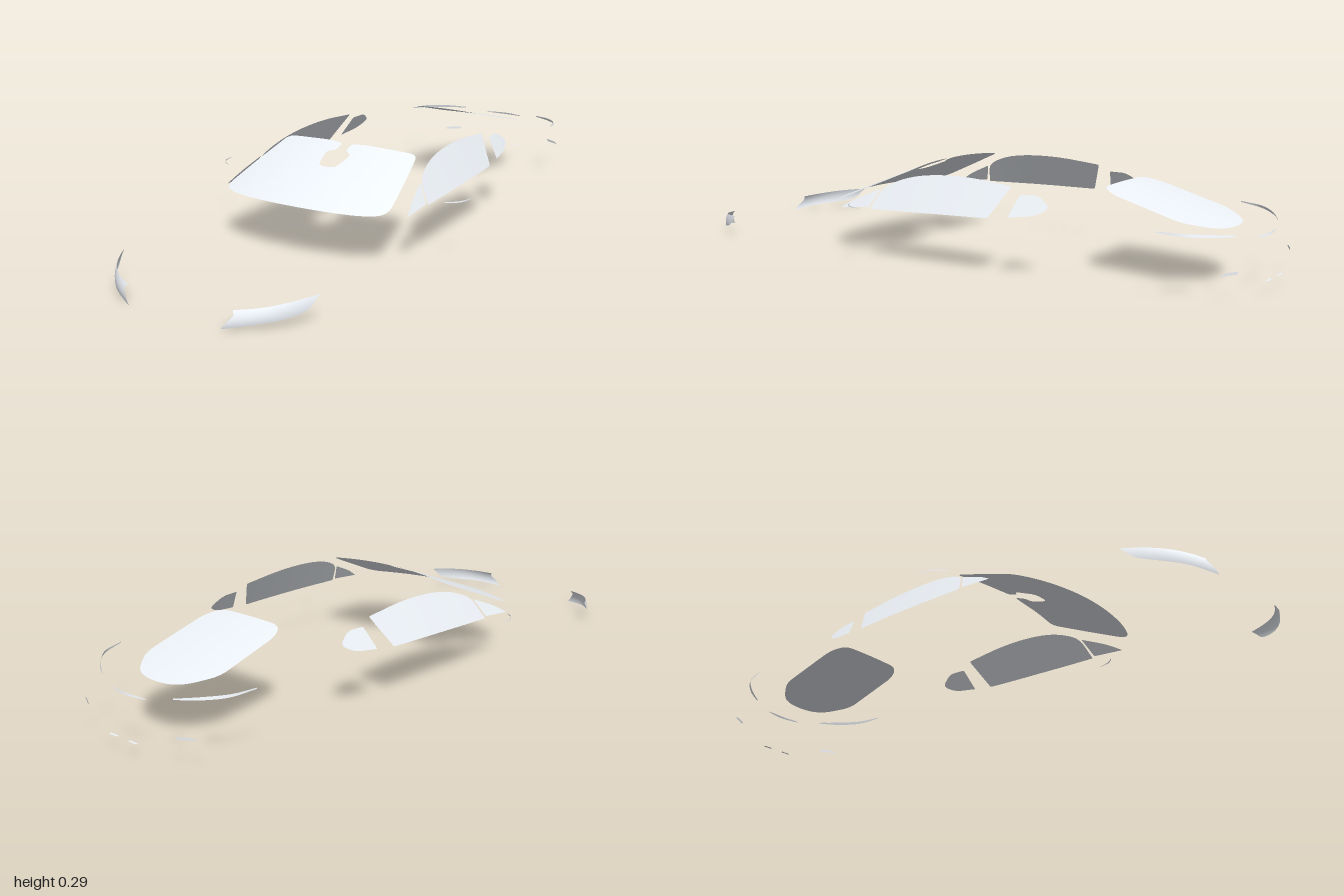
import * as THREE from 'three';
import { mergeVertices } from 'three/addons/utils/BufferGeometryUtils.js';

const material = new THREE.MeshStandardMaterial({ color: 0xeef3f9, side: THREE.DoubleSide });

// Closed shape from corners [u, v, rounding radius]
function roundedShape(corners) {
  const shape = new THREE.Shape();
  const n = corners.length;
  corners.forEach(([u, v, r = 0], i) => {
    const p = new THREE.Vector2(u, v);
    const toward = (q) => {
      const d = new THREE.Vector2(q[0], q[1]).sub(p);
      return p.clone().addScaledVector(d, Math.min(r / d.length(), 0.5));
    };
    const a = toward(corners[(i + n - 1) % n]);
    const b = toward(corners[(i + 1) % n]);
    if (i === 0) shape.moveTo(a.x, a.y); else shape.lineTo(a.x, a.y);
    if (r > 0) shape.quadraticCurveTo(p.x, p.y, b.x, b.y);
  });
  shape.closePath();
  return shape;
}

// Fill a flat outline, split its triangles and bend it with map(u, v) -> [x, y, z]
function panel(name, corners, map, levels = 3) {
  const flat = new THREE.ShapeGeometry(roundedShape(corners), 5).toNonIndexed().attributes.position;
  let tris = [];
  for (let i = 0; i < flat.count; i += 3) {
    tris.push([0, 1, 2].map((k) => [flat.getX(i + k), flat.getY(i + k)]));
  }
  const mid = (a, b) => [(a[0] + b[0]) / 2, (a[1] + b[1]) / 2];
  for (let l = 0; l < levels; l++) {
    tris = tris.flatMap(([a, b, c]) => {
      const ab = mid(a, b), bc = mid(b, c), ca = mid(c, a);
      return [[a, ab, ca], [ab, b, bc], [ca, bc, c], [ab, bc, ca]];
    });
  }
  const positions = tris.flat().flatMap(([u, v]) => map(u, v));
  let geometry = new THREE.BufferGeometry();
  geometry.setAttribute('position', new THREE.Float32BufferAttribute(positions, 3));
  geometry = mergeVertices(geometry, 1e-5);
  geometry.computeVertexNormals();
  const mesh = new THREE.Mesh(geometry, material);
  mesh.name = name;
  return mesh;
}

// Narrow band along a curve, slimmer toward its ends and leaning slightly inward
function strip(name, points, height, side = 1) {
  const curve = new THREE.CatmullRomCurve3(points.map((p) => new THREE.Vector3(...p)));
  return panel(name, [[0, -0.5], [1, -0.5], [1, 0.5], [0, 0.5]], (u, v) => {
    const p = curve.getPoint(u);
    const h = v * height * (0.35 + 0.65 * Math.sin(Math.PI * u));
    const lean = 1 - 0.4 * h;
    return [side * p.x * lean, p.y + h, p.z * lean];
  }, 4);
}

export function createModel() {
  const car = new THREE.Group();
  car.name = 'carGlassAndLights';

  // Windscreen with the keyhole cut-out for the mirror mount
  const half = [
    [0.03, 0.267, 0.02], [0.046, 0.197, 0.015], [0.018, 0.182, 0.008], [0.016, 0.148, 0.01],
    [0.06, 0.139, 0.04], [0.14, 0.135, 0.05], [0.24, 0.122, 0.025],
    [0.272, 0.26, 0.06], [0.295, 0.392, 0.04], [0.22, 0.432, 0.06], [0.11, 0.455, 0.06],
  ];
  const mirrored = half.map(([x, z, r]) => [-x, z, r]).reverse();
  car.add(panel('windscreen', [...half, [0, 0.462, 0.06], ...mirrored],
    (x, z) => [x, 0.168 + 0.39 * (0.46 - z) - 0.33 * x * x, z]));

  // Rear window
  const rearHalf = [[0.122, -0.507, 0.03], [0.152, -0.553, 0.03], [0.155, -0.775, 0.03],
    [0.1, -0.85, 0.04], [0.055, -0.872, 0.03]];
  car.add(panel('rearWindow',
    [...rearHalf, [0, -0.878, 0.03], ...rearHalf.map(([x, z, r]) => [-x, z, r]).reverse()],
    (x, z) => [x, 0.275 - 0.265 * (-0.505 - z) - 0.2 * x * x, z]));

  // High brake light
  car.add(strip('highBrakeLight',
    [[-0.07, 0.166, -0.968], [0, 0.166, -0.976], [0.07, 0.166, -0.968]], 0.006));

  for (const side of [1, -1]) {
    const label = side > 0 ? 'left' : 'right';

    // Side glass: outlines in (z, y), leaning inward toward the roof
    const lean = (z, y) =>
      [side * (0.329 - 0.6 * (y - 0.17) - 0.09 * (z - 0.07) ** 2), y, z];
    car.add(
      panel(label + 'DoorWindow', [
        [0.217, 0.161, 0.004], [0.196, 0.219, 0.02], [0.17, 0.24, 0.03], [0.1, 0.267, 0.05],
        [0, 0.281, 0.06], [-0.12, 0.283, 0.06], [-0.27, 0.27, 0.006], [-0.222, 0.177, 0.006],
        [0, 0.17, 0.05],
      ], lean),
      panel(label + 'FrontQuarterWindow', [
        [0.338, 0.154, 0.004], [0.285, 0.186, 0.03], [0.2, 0.222, 0.004], [0.226, 0.165, 0.006],
      ], lean),
      panel(label + 'RearQuarterWindow', [
        [-0.307, 0.25, 0.006], [-0.37, 0.251, 0.02], [-0.415, 0.221, 0.018],
        [-0.375, 0.196, 0.03], [-0.288, 0.185, 0.004],
      ], lean),
    );

    // Headlight cover wrapping round the nose corner
    car.add(panel(label + 'Headlight', [
      [0.343, 0.074, 0.002], [0.26, 0.059, 0.04], [0.181, 0.05, 0.003], [0.189, 0.038, 0.008],
      [0.174, 0.021, 0.01], [0.158, 0, 0.001], [0.23, 0.013, 0.03], [0.3, 0.023, 0.03],
      [0.333, 0.038, 0.015],
    ], (x, y) => {
      const t = Math.max(0, (x - 0.16) / 0.183);
      const bulge = y - (0.012 + 0.03 * t);
      return [side * x, y, 1 - 0.09 * t - 0.09 * t ** 3.5 - 12 * bulge * bulge];
    }, 4));

    // Tail light along the rear edge
    car.add(strip(label + 'TailLight',
      [[0.288, 0.194, -0.762], [0.265, 0.189, -0.84], [0.21, 0.184, -0.9], [0.15, 0.179, -0.94]],
      0.009, side));

    // Rear reflector
    car.add(panel(label + 'Reflector',
      [[0.185, 0.09, 0.002], [0.226, 0.09, 0.01], [0.243, 0.083, 0.001], [0.19, 0.082, 0.004]],
      (x, y) => [side * x, y, -0.968 + 0.55 * (x - 0.185)]));

    // Indicator on the door mirror
    car.add(strip(label + 'MirrorIndicator',
      [[0.45, 0.186, 0.163], [0.442, 0.186, 0.2], [0.425, 0.186, 0.225], [0.4, 0.186, 0.242]],
      0.004, side));

    // Number plate lamp, facing down
    car.add(panel(label + 'PlateLamp',
      [[0.024, -1], [0.058, -1], [0.058, -0.992], [0.024, -0.992]],
      (x, z) => [side * x, 0.042, z], 0));
  }
  return car;
}
